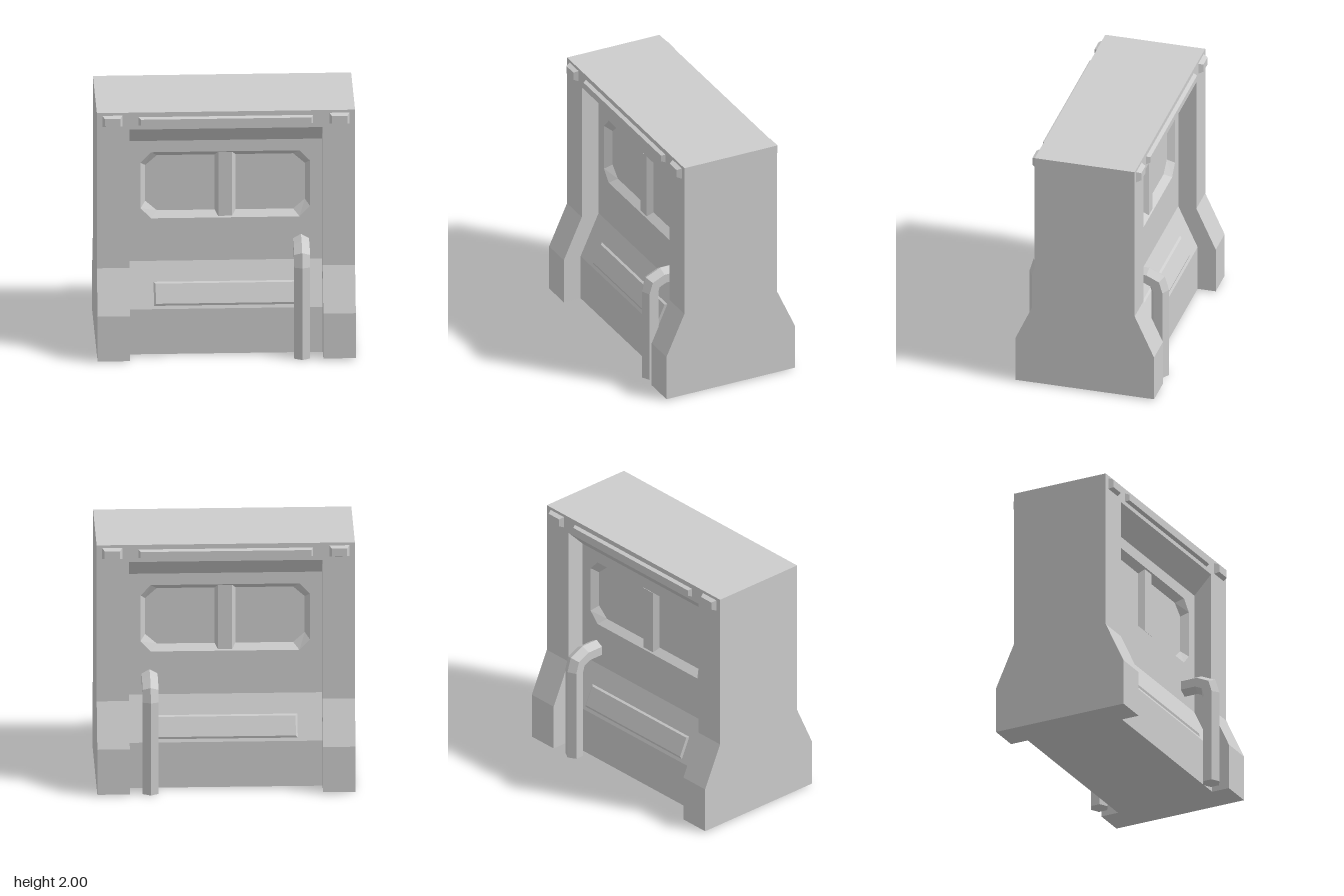
import * as THREE from 'three';

const V = (x, y, z) => new THREE.Vector3(x, y, z);

// Skin a series of counter-clockwise rings, optionally capped at both ends
function loft(rings, caps = true) {
  const pos = [];
  const tri = (...pts) => pts.forEach((p) => pos.push(p.x, p.y, p.z));
  const n = rings[0].length;
  for (let k = 0; k + 1 < rings.length; k++) {
    for (let i = 0; i < n; i++) {
      const j = (i + 1) % n;
      tri(rings[k][i], rings[k][j], rings[k + 1][j]);
      tri(rings[k][i], rings[k + 1][j], rings[k + 1][i]);
    }
  }
  if (caps) {
    const a = rings[0], b = rings[rings.length - 1];
    for (let i = 1; i + 1 < n; i++) {
      tri(a[0], a[i + 1], a[i]);
      tri(b[0], b[i], b[i + 1]);
    }
  }
  const g = new THREE.BufferGeometry();
  g.setAttribute('position', new THREE.Float32BufferAttribute(pos, 3));
  g.computeVertexNormals();
  return g;
}

const rect = (w, h, z) => [V(-w / 2, -h / 2, z), V(w / 2, -h / 2, z), V(w / 2, h / 2, z), V(-w / 2, h / 2, z)];

// Raised plate with bevelled sides
const plate = (w, h, d, bx, by = bx) => loft([rect(w, h, 0), rect(w - 2 * bx, h - 2 * by, d)]);

// Rectangle with cut corners
function octagon(w, h, cx, cy, y, z) {
  const a = w / 2, b = h / 2;
  return [[a, -b + cy], [a, b - cy], [a - cx, b], [-a + cx, b], [-a, b - cy], [-a, -b + cy], [-a + cx, -b], [a - cx, -b]]
    .map(([px, py]) => V(px, y + py, z));
}

// Front half profile [z, y] mirrored to the back and extruded along x
function slab(half, width) {
  const pts = [...half, ...half.map(([z, y]) => [-z, y]).reverse()].map(([z, y]) => new THREE.Vector2(z, y));
  const g = new THREE.ExtrudeGeometry(new THREE.Shape(pts), { depth: width, bevelEnabled: false });
  return g.translate(0, 0, -width / 2).rotateY(Math.PI / 2);
}

// Six-sided pipe along points [z, y], with mitred bends
function pipe(path, r) {
  const pts = path.map(([z, y]) => new THREE.Vector2(z, y));
  const rings = pts.map((p, k) => {
    const before = p.clone().sub(pts[Math.max(k - 1, 0)]).normalize();
    const after = pts[Math.min(k + 1, pts.length - 1)].clone().sub(p).normalize();
    const t = before.clone().add(after).normalize();
    const miter = 1 / t.dot(k === 0 ? after : before);
    return Array.from({ length: 6 }, (_, i) => {
      const a = Math.PI / 6 + (i * Math.PI) / 3;
      const u = r * Math.cos(a), v = r * Math.sin(a) * miter;
      return V(u, p.y + v * t.x, p.x - v * t.y);
    });
  });
  return loft(rings);
}

export function createModel() {
  const model = new THREE.Group();
  model.name = 'wallSection';
  const grey = new THREE.MeshStandardMaterial({ color: 0xcccccc });
  grey.name = 'grey';

  const add = (parent, name, geometry, x = 0, y = 0, z = 0) => {
    const m = new THREE.Mesh(geometry, grey);
    m.name = name;
    m.position.set(x, y, z);
    parent.add(m);
    return m;
  };

  const panelZ = 0.255, windowZ = 0.2;

  // End pillars with flared feet
  const pillar = [[0.555, 0.01], [0.555, 0.38], [0.4, 0.72], [0.4, 2]];
  for (const s of [1, -1]) add(model, s > 0 ? 'leftPillar' : 'rightPillar', slab(pillar, 0.25), s * 0.87);

  // Middle wall, set back behind the panels
  const core = [[0.41, 0.01], [0.41, 0.38], [panelZ, 0.72], [windowZ, 0.72], [windowZ, 1.71],
    [panelZ, 1.71], [0.4, 1.86], [0.4, 2]];
  add(model, 'wallCore', slab(core, 1.49));

  // Both faces carry the same details; the pipes share one end
  for (const s of [1, -1]) {
    const face = new THREE.Group();
    face.name = s > 0 ? 'frontFace' : 'backFace';
    if (s < 0) face.rotation.y = Math.PI;
    model.add(face);

    // Flat panel with window opening and bevelled recess
    const outer = octagon(1.305, 0.545, 0.08, 0.085, 1.343, panelZ);
    const inner = octagon(1.23, 0.455, 0.09, 0.08, 1.343, windowZ);
    const shape = new THREE.Shape([[-0.745, 0.72], [0.745, 0.72], [0.745, 1.71], [-0.745, 1.71]]
      .map(([x, y]) => new THREE.Vector2(x, y)));
    shape.holes.push(new THREE.Path(outer.map((p) => new THREE.Vector2(p.x, p.y))));
    add(face, 'panel', new THREE.ShapeGeometry(shape), 0, 0, panelZ);
    add(face, 'windowRecess', loft([outer, inner], false));
    add(face, 'windowMullion', plate(0.16, 0.525, 0.047, 0.027, 0), 0, 1.343, windowZ);

    // Raised plate on the sloping base
    const slope = add(face, 'slopePlate', plate(1.11, 0.186, 0.012, 0.015), 0, 0.488, 0.361);
    slope.rotation.x = -Math.atan2(0.155, 0.34);

    // Top trim and corner lamps
    add(face, 'topTrim', plate(1.345, 0.068, 0.03, 0.015, 0.01), 0, 1.928, 0.4);
    for (const x of [0.875, -0.875]) add(face, 'cornerLamp', plate(0.155, 0.09, 0.036, 0.018, 0.014), x, 1.932, 0.4);

    // Pipe rising from the ground and bending into the wall
    const path = [[0.487, 0], [0.487, 0.745], [0.465, 0.818], [0.385, 0.855], [0.24, 0.855]];
    add(face, 'pipe', pipe(path, 0.071), s * 0.583);
  }
  return model;
}
